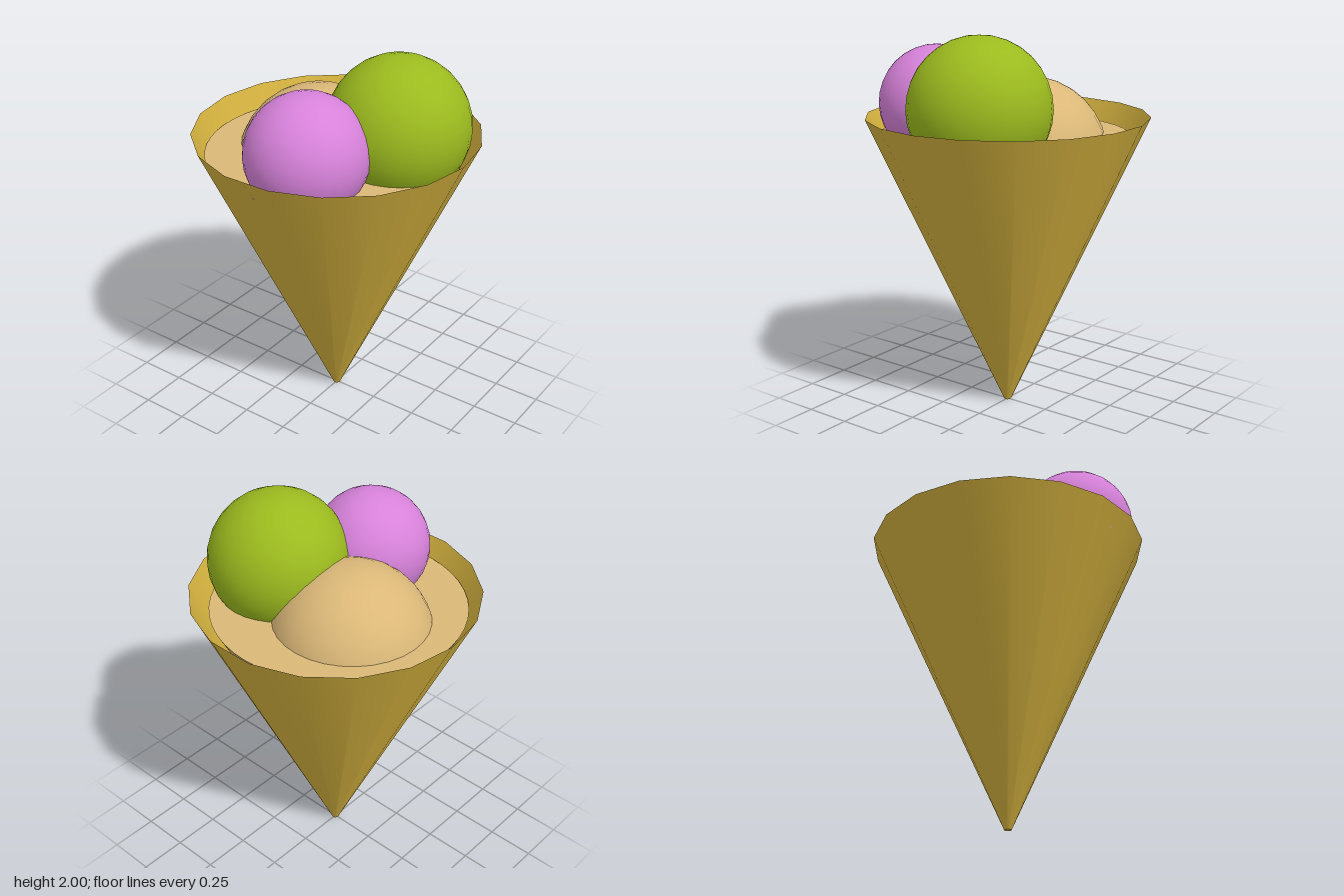
import * as THREE from 'three';

export function createModel() {
  const model = new THREE.Group();
  const add = (name, geometry, color, x, y, z, side = THREE.FrontSide) => {
    const mesh = new THREE.Mesh(geometry, new THREE.MeshStandardMaterial({ color, side }));
    mesh.name = name;
    mesh.position.set(x, y, z);
    model.add(mesh);
    return mesh;
  };

  // Thin open wafer cone, 18 sided, with a corner on the x axis
  const height = 1.565;
  const waferColor = 0xd4b23f;
  const wafer = new THREE.CylinderGeometry(0.73, 0.018, height, 18, 1, true).rotateY(Math.PI / 2);
  add('waferCone', wafer, waferColor, 0, height / 2, 0, THREE.DoubleSide);

  // Small flat tip closing the cone
  const tip = new THREE.CircleGeometry(0.018, 18).rotateX(Math.PI / 2);
  add('coneTip', tip, waferColor, 0, 0, 0);

  // Level filling just below the rim, tapering with the cone
  add('filling', new THREE.CylinderGeometry(0.65, 0.6, 0.1, 48), 0xdbb878, 0, 1.415, 0.025);

  // Scoops: name, colour, radius, centre
  const scoops = [
    ['vanillaScoop', 0xdbb878, 0.42, -0.135, 1.33, -0.03],
    ['limeScoop', 0x9bba1e, 0.36, 0.32, 1.64, -0.07],
    ['berryScoop', 0xd782da, 0.305, 0.1, 1.605, 0.385],
  ];
  for (const [name, color, r, x, y, z] of scoops) {
    add(name, new THREE.SphereGeometry(r, 32, 16), color, x, y, z);
  }
  return model;
}
